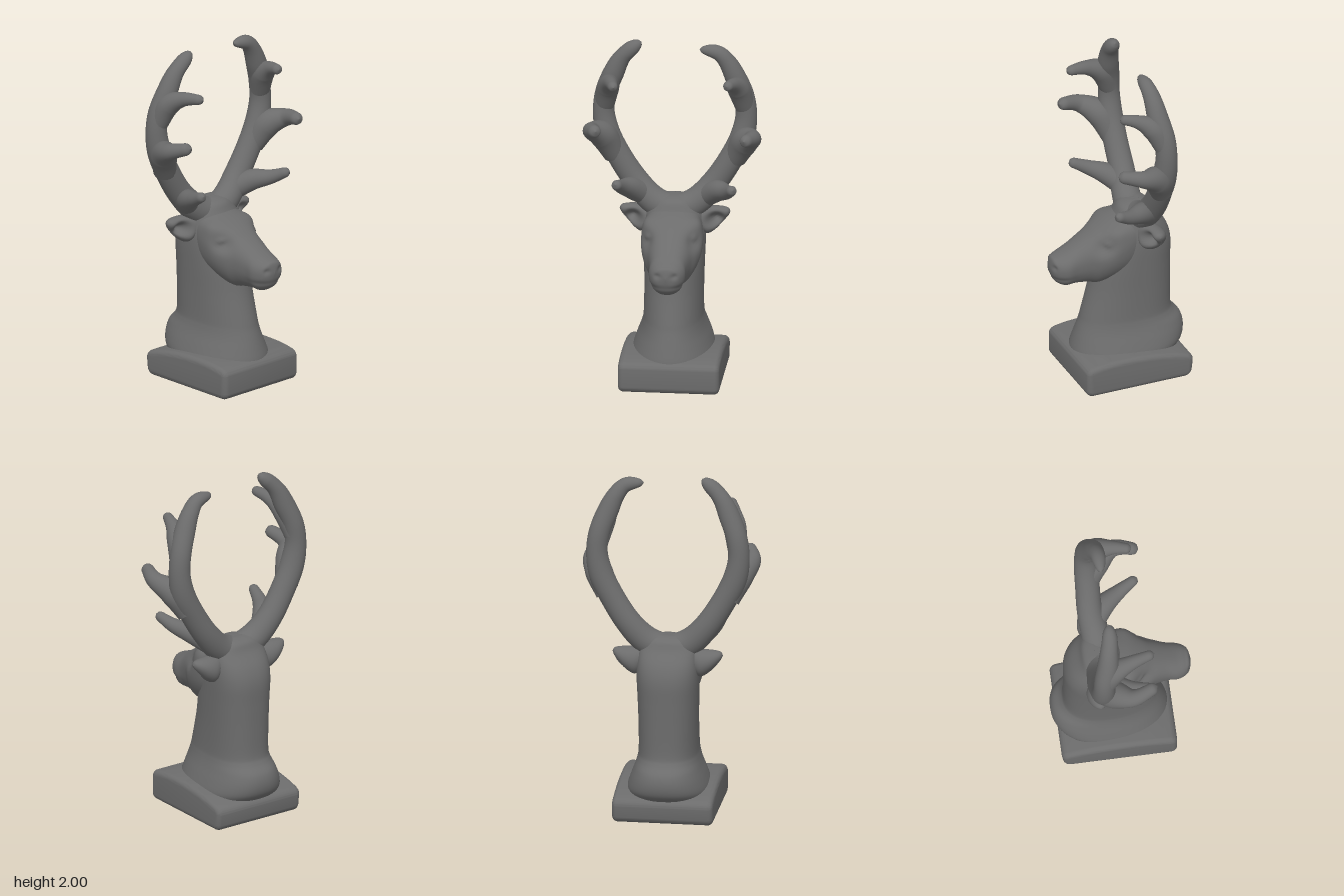
import * as THREE from 'three';
import { toCreasedNormals } from 'three/addons/utils/BufferGeometryUtils.js';

const material = new THREE.MeshStandardMaterial({ color: 0x6c6c6c });

// Smooth interpolation through a list of rows, u from 0 to 1
function sample(rows, u) {
  const t = u * (rows.length - 1);
  const i = Math.min(Math.floor(t), rows.length - 2);
  const f = t - i;
  const row = (k) => rows[Math.max(0, Math.min(rows.length - 1, k))];
  return rows[0].map((_, c) => {
    const [a, b, d, e] = [row(i - 1)[c], row(i)[c], row(i + 1)[c], row(i + 2)[c]];
    return b + 0.5 * f * (d - a + f * (2 * a - 5 * b + 4 * d - e + f * (3 * (b - d) + e - a)));
  });
}

// Skin of closed rings; point(u, angle) turns counter-clockwise about the direction of u
function loft(point, rows, cols) {
  const positions = [], index = [];
  for (let i = 0; i <= rows; i++) {
    for (let j = 0; j < cols; j++) {
      positions.push(...point(i / rows, (j / cols) * Math.PI * 2));
      if (i === rows) continue;
      const a = i * cols + j, b = i * cols + ((j + 1) % cols);
      index.push(a, b, a + cols, b, b + cols, a + cols);
    }
  }
  const g = new THREE.BufferGeometry();
  g.setAttribute('position', new THREE.Float32BufferAttribute(positions, 3));
  g.setIndex(index);
  g.computeVertexNormals();
  return g;
}

// Tapering limb through points of [x, y, z, radius], with a rounded tip
function limb(points, rows, cols) {
  const curve = new THREE.CatmullRomCurve3(points.map((p) => new THREE.Vector3(p[0], p[1], p[2])));
  const frames = curve.computeFrenetFrames(rows);
  return loft((u, a) => {
    const i = Math.round(u * rows);
    const k = Math.max(0, (u - 0.92) / 0.08);
    const r = sample(points, u)[3] * Math.sqrt(Math.max(0, 1 - k * k));
    return curve.getPoint(u)
      .addScaledVector(frames.normals[i], r * Math.cos(a))
      .addScaledVector(frames.binormals[i], r * Math.sin(a)).toArray();
  }, rows, cols);
}

const power = (v, e) => Math.sign(v) * Math.abs(v) ** e;
const bump = (x, y, z, rx, ry, rz) => Math.exp(-((x / rx) ** 2) - (y / ry) ** 2 - (z / rz) ** 2);

// Plinth with soft edges and a gently bowed top
function plinthGeometry() {
  const s = new THREE.Shape();
  s.moveTo(0.26, 0.045);
  s.lineTo(0.26, 0.14);
  s.quadraticCurveTo(0.26, 0.152, 0.245, 0.154);
  s.bezierCurveTo(0.12, 0.182, -0.14, 0.176, -0.322, 0.122);
  s.quadraticCurveTo(-0.337, 0.117, -0.336, 0.105);
  s.lineTo(-0.33, 0.05);
  s.quadraticCurveTo(-0.328, 0.037, -0.314, 0.037);
  s.lineTo(0.25, 0.037);
  s.quadraticCurveTo(0.26, 0.037, 0.26, 0.045);
  const g = new THREE.ExtrudeGeometry(s, {
    depth: 0.514, bevelEnabled: true, bevelSize: 0.032, bevelThickness: 0.032, bevelSegments: 6, curveSegments: 16,
  });
  g.rotateY(-Math.PI / 2);
  g.translate(0.261, 0, 0);
  return toCreasedNormals(g, 0.8);
}

// Neck rows: y, front z, back z, half width
const NECK = [
  [0.13, 0.27, -0.34, 0.235], [0.18, 0.267, -0.388, 0.232], [0.24, 0.25, -0.402, 0.213],
  [0.3, 0.23, -0.388, 0.19], [0.35, 0.213, -0.345, 0.175], [0.4, 0.2, -0.328, 0.169],
  [0.55, 0.16, -0.325, 0.168], [0.7, 0.13, -0.325, 0.172], [0.83, 0.09, -0.323, 0.176],
  [0.92, 0.05, -0.295, 0.172], [1.0, 0.0, -0.238, 0.155], [1.05, -0.03, -0.21, 0.11],
  [1.07, -0.08, -0.165, 0.06], [1.073, -0.12, -0.12, 0],
];
function neckGeometry() {
  return loft((u, a) => {
    const [y, zf, zb, w] = sample(NECK, u);
    const c = Math.cos(a), mid = (zf + zb) / 2 - 0.03;
    const z = mid + power(c, 0.85) * (c > 0 ? zf - mid : mid - zb);
    return [w * power(Math.sin(a), c > 0 ? 1 : 0.85), y, z];
  }, 78, 56);
}

// Head rows: z, top, bottom, half width
const HEAD = [
  [-0.2, 0.95, 0.8, 0], [-0.17, 1.03, 0.7, 0.11], [-0.1, 1.04, 0.66, 0.152],
  [-0.02, 1.01, 0.63, 0.172], [0.06, 0.982, 0.61, 0.172], [0.13, 0.945, 0.6, 0.152],
  [0.19, 0.906, 0.612, 0.122], [0.26, 0.862, 0.62, 0.104], [0.32, 0.828, 0.62, 0.102],
  [0.365, 0.81, 0.643, 0.085], [0.392, 0.795, 0.68, 0.056], [0.403, 0.745, 0.735, 0],
];
function headGeometry() {
  return loft((u, a) => {
    let [z, top, bottom, w] = sample(HEAD, u);
    const jaw = 0.1 + 0.08 * bump(0, 0, z - 0.06, 1, 1, 0.13);
    let x = w * power(Math.cos(a), 0.88) * (1 + jaw * Math.sin(a));
    let y = (top + bottom) / 2 + ((top - bottom) / 2) * power(Math.sin(a), 0.9);
    const side = Math.abs(x);
    // Eye sockets with a soft lid, brows, mouth line and nostrils
    const socket = bump(side - 0.15, y - 0.875, z - 0.13, 0.07, 0.045, 0.06)
      - 0.5 * bump(side - 0.14, y - 0.885, z - 0.11, 0.05, 0.018, 0.028);
    const brow = bump(side - 0.15, y - 0.955, z - 0.04, 0.06, 0.04, 0.07);
    const mouth = z > 0.2 ? bump(0, y - 0.682, z - 0.34, 1, 0.014, 0.07) : 0;
    const nostril = bump(side - 0.05, y - 0.755, z - 0.385, 0.02, 0.016, 0.04);
    x *= 1 - 0.18 * socket + 0.09 * brow - 0.04 * mouth;
    y += 0.012 * brow;
    z -= 0.02 * socket + 0.006 * mouth + 0.01 * nostril;
    return [x, y, z];
  }, 90, 64);
}

// Ear rows: x, centre y, centre z, half height, half depth
const EAR = [
  [0.1, 0.93, -0.12, 0.05, 0.05], [0.15, 0.925, -0.135, 0.07, 0.065], [0.19, 0.917, -0.143, 0.08, 0.075],
  [0.235, 0.93, -0.148, 0.067, 0.068], [0.275, 0.949, -0.15, 0.045, 0.05], [0.305, 0.964, -0.15, 0.022, 0.025],
  [0.316, 0.967, -0.15, 0, 0],
];
function earGeometry(s) {
  return loft((u, angle) => {
    const a = angle * s;
    const [x, cy, cz, h, d] = sample(EAR, u);
    const y = cy + h * Math.cos(a);
    let z = cz + d * Math.sin(a);
    if (Math.sin(a) > 0) z -= 0.085 * bump(x - 0.235, y - 0.93, 0, 0.045, 0.036, 1);
    return [s * x, y, z];
  }, 36, 36);
}

// Antler beam and three forward tines, the two sides differing slightly at the tips
const ANTLER = {
  beam: [
    [-0.03, 0.99, -0.12, 0.08], [0.06, 0.998, -0.12, 0.084], [0.14, 1.045, -0.13, 0.08], [0.225, 1.14, -0.145, 0.073],
    [0.315, 1.28, -0.145, 0.07], [0.383, 1.42, -0.143, 0.07], [0.407, 1.55, -0.145, 0.062],
    [0.393, 1.67, -0.138, 0.061], [0.348, 1.79, -0.115, 0.06], [0.3, 1.89, -0.103, 0.05],
  ],
  leftTip: [[0.25, 1.942, -0.093, 0.042], [0.145, 1.96, -0.09, 0.034]],
  rightTip: [[0.25, 1.945, -0.093, 0.044], [0.187, 1.995, -0.09, 0.036]],
  // Each tine grows out of the beam in a broad root
  leftTines: [
    [[0.17, 1.06, -0.14, 0.066], [0.25, 1.12, -0.06, 0.062], [0.312, 1.15, 0.04, 0.042], [0.36, 1.2, 0.145, 0.027]],
    [[0.345, 1.3, -0.14, 0.066], [0.405, 1.415, -0.085, 0.078], [0.457, 1.468, 0.02, 0.05], [0.422, 1.5, 0.16, 0.034]],
    [[0.4, 1.61, -0.14, 0.058], [0.37, 1.73, -0.08, 0.064], [0.348, 1.785, 0.005, 0.04], [0.318, 1.81, 0.105, 0.027]],
  ],
  rightTines: [
    [[0.17, 1.06, -0.14, 0.066], [0.24, 1.12, -0.06, 0.062], [0.285, 1.16, 0.035, 0.042], [0.312, 1.21, 0.145, 0.027]],
    [[0.345, 1.3, -0.14, 0.066], [0.405, 1.425, -0.085, 0.078], [0.46, 1.485, 0.02, 0.05], [0.422, 1.53, 0.157, 0.034]],
    [[0.4, 1.6, -0.14, 0.058], [0.375, 1.72, -0.08, 0.064], [0.352, 1.775, 0.02, 0.042], [0.322, 1.797, 0.152, 0.027]],
  ],
};

export function createModel() {
  const model = new THREE.Group();
  model.name = 'stagBust';
  const add = (name, geometry, parent = model) => {
    const mesh = new THREE.Mesh(geometry, material);
    mesh.name = name;
    parent.add(mesh);
  };

  add('plinth', plinthGeometry());
  add('neck', neckGeometry());
  add('head', headGeometry());

  for (const [side, s] of [['left', 1], ['right', -1]]) {
    add(side + 'Ear', earGeometry(s));

    const antler = new THREE.Group();
    antler.name = side + 'Antler';
    model.add(antler);
    const mirror = (points) => points.map(([x, ...rest]) => [s * x, ...rest]);
    add(side + 'Beam', limb(mirror([...ANTLER.beam, ...ANTLER[side + 'Tip']]), 80, 28), antler);
    ANTLER[side + 'Tines'].forEach((tine, i) => {
      add(side + ['Lower', 'Middle', 'Upper'][i] + 'Tine', limb(mirror(tine), 40, 24), antler);
    });
  }
  return model;
}
